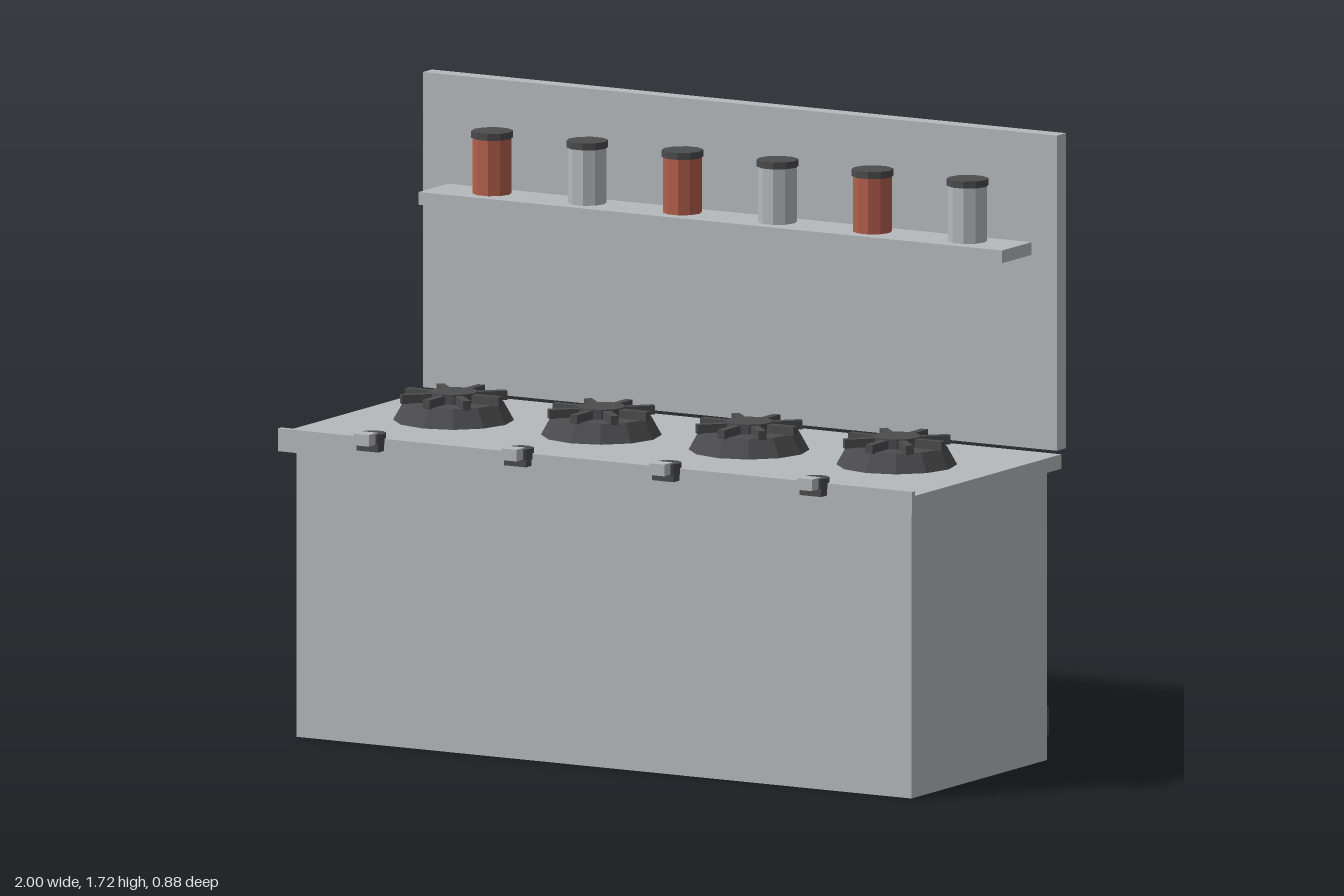
import * as THREE from 'three';

export function createModel() {
  const root = new THREE.Group();
  const mat = (name, color) => {
    const m = new THREE.MeshStandardMaterial({ color, flatShading: true });
    m.name = name;
    return m;
  };
  const steel = mat('steel', 0xb6babc);
  const iron = mat('dark iron', 0x4c4c4e);
  const red = mat('spice red', 0xb55f4c);

  const add = (parent, name, geo, material, x, y, z) => {
    const m = new THREE.Mesh(geo, material);
    m.name = name;
    m.position.set(x, y, z);
    parent.add(m);
    return m;
  };
  // Box given by its min and max corners
  const box = (parent, name, material, [x0, y0, z0], [x1, y1, z1]) =>
    add(parent, name, new THREE.BoxGeometry(x1 - x0, y1 - y0, z1 - z0), material,
      (x0 + x1) / 2, (y0 + y1) / 2, (z0 + z1) / 2);
  // Faceted upright cylinder with a corner on the x axis
  const drum = (parent, name, material, rTop, rBottom, y0, y1, sides) =>
    add(parent, name, new THREE.CylinderGeometry(rTop, rBottom, y1 - y0, sides).rotateY(Math.PI / 2),
      material, 0, (y0 + y1) / 2, 0);
  const group = (name, x, z) => {
    const g = new THREE.Group();
    g.name = name;
    g.position.set(x, 0, z);
    root.add(g);
    return g;
  };

  // Cabinet, counter and wall panel
  box(root, 'cabinet', steel, [-0.97, 0, -0.39], [0.97, 0.8, 0.33]);
  box(root, 'counter', steel, [-1, 0.8, -0.415], [1, 0.84, 0.365]);
  box(root, 'frontLip', steel, [-1, 0.79, 0.36], [1, 0.853, 0.377]);
  box(root, 'backsplash', steel, [-1, 0.853, -0.44], [1, 1.72, -0.392]);
  box(root, 'shelf', steel, [-0.92, 1.385, -0.392], [0.92, 1.42, -0.235]);
  box(root, 'rearPipe', iron, [-0.95, 0.062, -0.435], [0.95, 0.138, -0.39]);

  // Spice jars, alternating red and steel
  for (let i = 0; i < 6; i++) {
    const jar = group('spiceJar', -0.74 + 0.3 * i, -0.322);
    drum(jar, 'jarBody', i % 2 ? steel : red, 0.053, 0.053, 1.42, 1.573, 10);
    drum(jar, 'jarLid', iron, 0.057, 0.057, 1.573, 1.592, 10);
  }

  for (let i = 0; i < 4; i++) {
    const x = -0.7 + 0.466 * i;

    // Burner: tapered base, centre cap and eight grate arms
    const burner = group('burner', x, -0.05);
    drum(burner, 'burnerBase', iron, 0.135, 0.164, 0.84, 0.892, 12);
    drum(burner, 'burnerCap', iron, 0.066, 0.066, 0.89, 0.919, 12);
    for (let k = 0; k < 8; k++) {
      const arm = new THREE.BoxGeometry(0.095, 0.025, 0.022);
      arm.translate(0.1, 0, 0).rotateY((k * Math.PI) / 4);
      add(burner, 'grateArm', arm, iron, 0, 0.903, 0);
    }

    // Control knob: round body, stem and a light grip
    const knob = group('knob', x, 0.38);
    drum(knob, 'knobBody', iron, 0.037, 0.037, 0.838, 0.868, 10);
    box(knob, 'knobStem', iron, [-0.034, 0.82, -0.01], [0.034, 0.838, 0.028]);
    box(knob, 'knobGrip', steel, [-0.024, 0.84, 0.015], [0.024, 0.872, 0.06]);
  }
  return root;
}
